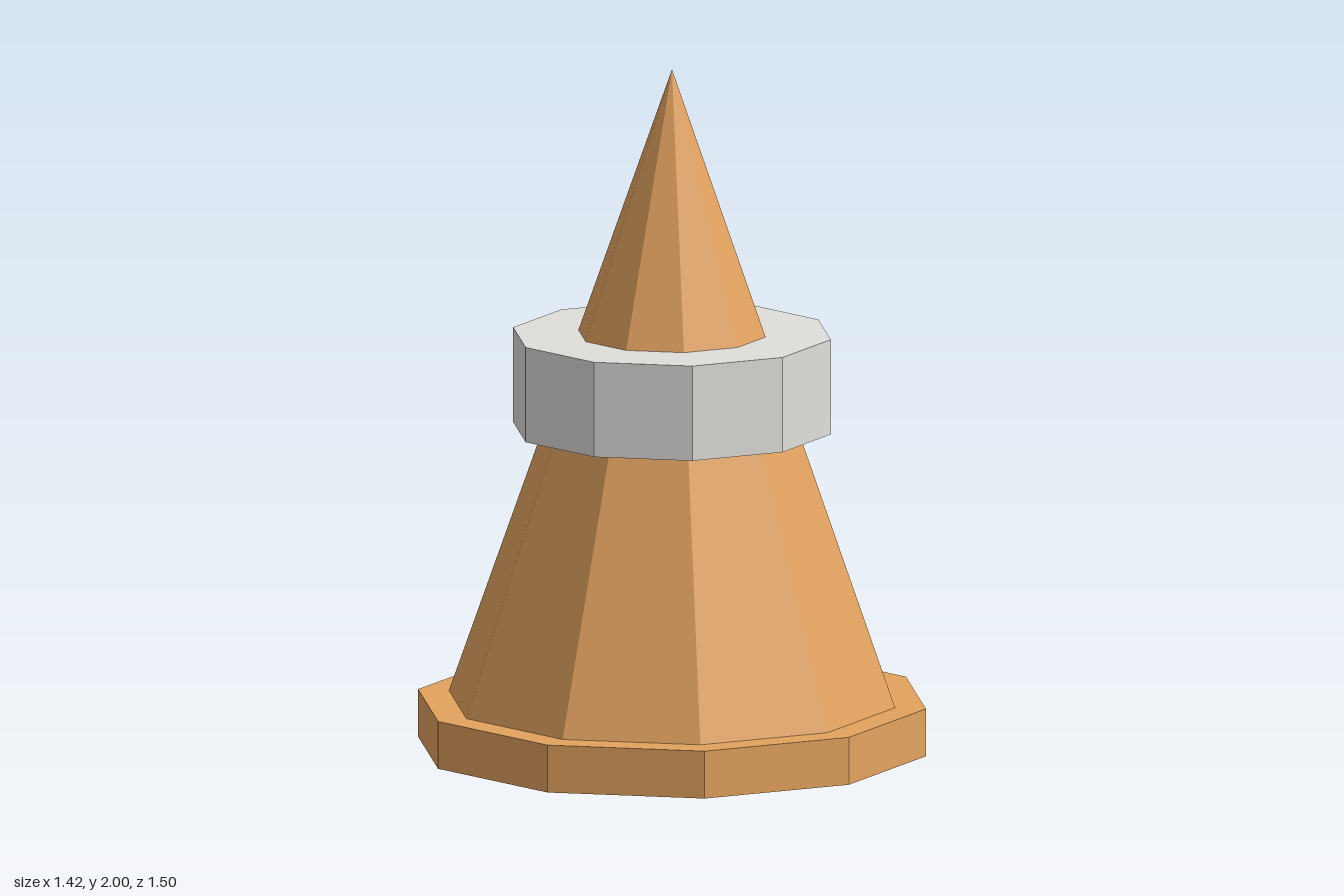
import * as THREE from 'three';

const SIDES = 10;

export function createModel() {
  const group = new THREE.Group();
  const orange = new THREE.MeshStandardMaterial({ color: 0xe3a35f, flatShading: true });
  orange.name = 'orange';
  const lightGrey = new THREE.MeshStandardMaterial({ color: 0xe0dfdb, flatShading: true });
  lightGrey.name = 'lightGrey';

  // Ten-sided upright part spanning y0..y1, with a corner facing the front
  function addPart(name, rBottom, rTop, y0, y1, material) {
    const geometry = rTop === 0
      ? new THREE.ConeGeometry(rBottom, y1 - y0, SIDES)
      : new THREE.CylinderGeometry(rTop, rBottom, y1 - y0, SIDES);
    const mesh = new THREE.Mesh(geometry, material);
    mesh.name = name;
    mesh.position.y = (y0 + y1) / 2;
    group.add(mesh);
  }

  addPart('base', 0.748, 0.748, 0, 0.14, orange);
  addPart('coneBody', 0.657, 0, 0.14, 2, orange);
  addPart('collar', 0.468, 0.468, 0.94, 1.22, lightGrey);

  return group;
}
